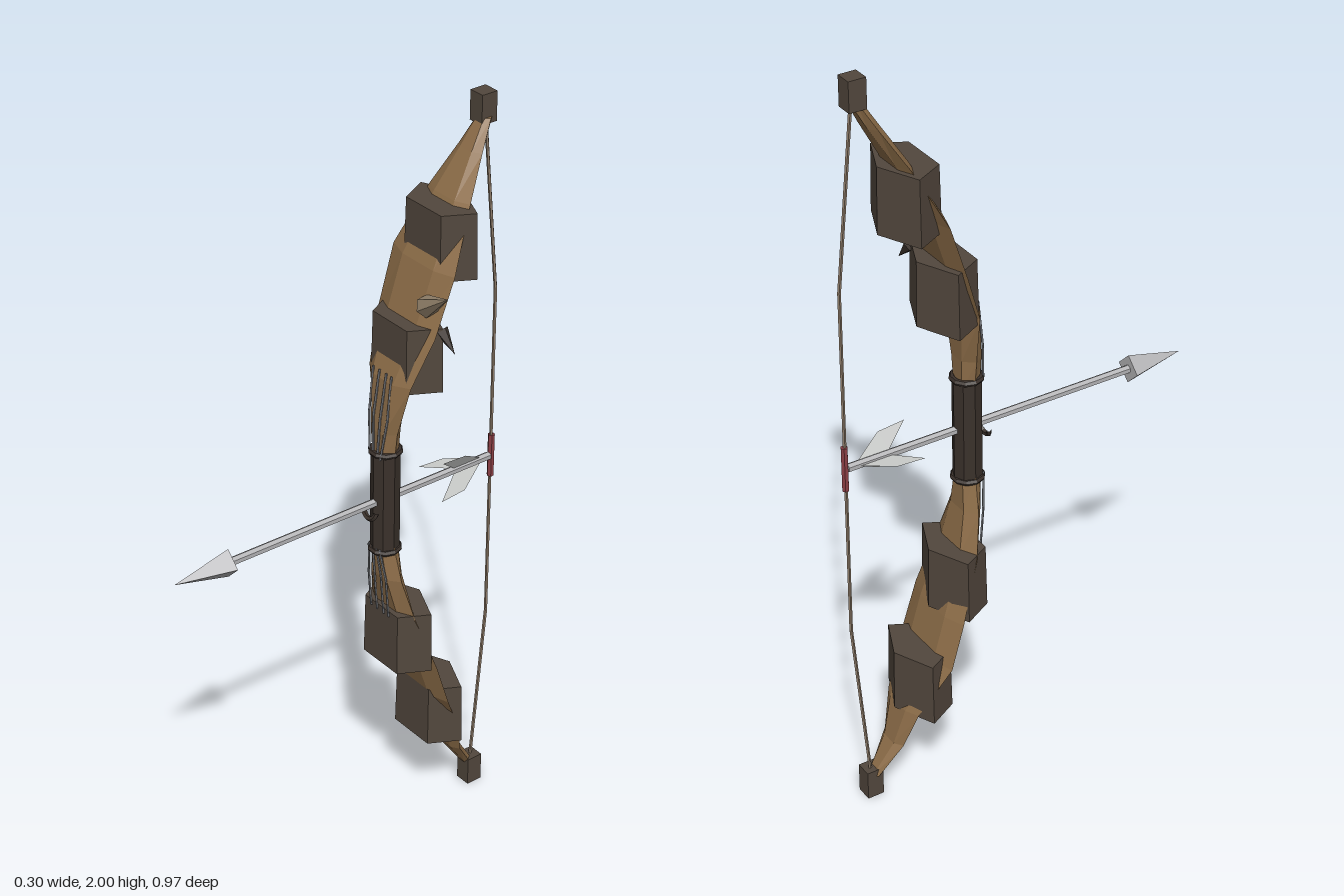
import * as THREE from 'three';

const CX = -0.033; // the bow's centre plane

function material(name, color, double = false) {
  const m = new THREE.MeshStandardMaterial({ color, flatShading: true });
  m.name = name;
  if (double) m.side = THREE.DoubleSide;
  return m;
}

// Six-sided loft through stations [y, z, halfWidth, halfThickness], rising in y
function loft(stations) {
  const n = 6, pos = [], idx = [];
  for (const [y, z, w, t] of stations) {
    for (let j = 0; j < n; j++) {
      const a = (j / n) * Math.PI * 2;
      pos.push(CX + Math.cos(a) * w, y, z + Math.sin(a) * t);
    }
  }
  for (let i = 0; i < stations.length - 1; i++) {
    for (let j = 0; j < n; j++) {
      const a = i * n + j, b = i * n + (j + 1) % n;
      idx.push(a, a + n, b, b, a + n, b + n);
    }
  }
  const last = (stations.length - 1) * n;
  for (let j = 1; j < n - 1; j++) {
    idx.push(0, j, j + 1);
    idx.push(last, last + j + 1, last + j);
  }
  const g = new THREE.BufferGeometry();
  g.setAttribute('position', new THREE.Float32BufferAttribute(pos, 3));
  g.setIndex(idx);
  const flat = g.toNonIndexed();
  flat.computeVertexNormals();
  return flat;
}

// Tapered rod from point a to point b
function rod(a, b, ra, rb, sides) {
  const A = new THREE.Vector3(...a), B = new THREE.Vector3(...b);
  const dir = B.clone().sub(A);
  const g = new THREE.CylinderGeometry(rb, ra, dir.length(), sides);
  g.applyQuaternion(new THREE.Quaternion().setFromUnitVectors(
    new THREE.Vector3(0, 1, 0), dir.normalize()));
  const mid = A.add(B).multiplyScalar(0.5);
  return g.translate(mid.x, mid.y, mid.z);
}

export function createModel() {
  const model = new THREE.Group();
  const wood = material('wood', 0x8e6e49);
  const wrap = material('wrap', 0x52473d);
  const grip = material('grip leather', 0x3a312b);
  const steel = material('steel', 0xb4b4b6);
  const feather = material('feather', 0xc9cbc9, true);
  const cord = material('bowstring cord', 0x8d7b69);
  const nock = material('nock binding', 0x8c3f45);
  const bone = material('bone', 0x9c8a72);
  const lace = material('lace', 0x7d7f84);

  const add = (name, geometry, mat) => {
    const mesh = new THREE.Mesh(geometry, mat);
    mesh.name = name;
    model.add(mesh);
    return mesh;
  };

  // Limbs
  add('upperLimb', loft([
    [1.12, -0.14, 0.035, 0.03], [1.2, -0.14, 0.045, 0.032], [1.34, -0.152, 0.08, 0.028],
    [1.47, -0.2, 0.108, 0.024], [1.62, -0.25, 0.115, 0.022], [1.77, -0.325, 0.075, 0.02],
    [1.87, -0.385, 0.042, 0.018], [1.94, -0.425, 0.022, 0.015]]), wood);
  add('lowerLimb', loft([
    [0.06, -0.425, 0.02, 0.015], [0.15, -0.365, 0.045, 0.018], [0.25, -0.335, 0.072, 0.02],
    [0.39, -0.262, 0.115, 0.022], [0.51, -0.225, 0.112, 0.024], [0.67, -0.17, 0.088, 0.026],
    [0.78, -0.147, 0.06, 0.028], [0.88, -0.14, 0.035, 0.03]]), wood);

  // Five-sided wraps: [y centre, front z]
  [[1.675, -0.245], [1.405, -0.148], [0.597, -0.13], [0.327, -0.235]].forEach(([y, z], i) => {
    const g = new THREE.CylinderGeometry(0.113, 0.118, 0.17, 5, 1, false, Math.PI);
    g.scale(0.98, 1, 0.6).translate(CX, y, z - 0.056);
    add('limbWrap' + (i + 1), g, wrap);
  });

  // Tip blocks
  add('upperTip', new THREE.BoxGeometry(0.044, 0.076, 0.045).translate(-0.042, 1.962, -0.428), wrap);
  add('lowerTip', new THREE.BoxGeometry(0.044, 0.08, 0.045).translate(-0.028, 0.04, -0.432), wrap);

  // Grip with end collars
  add('grip', new THREE.CylinderGeometry(0.037, 0.037, 0.28, 8).translate(CX, 1, -0.14), grip);
  for (const y of [0.86, 1.14]) {
    add('gripCollar', new THREE.TorusGeometry(0.036, 0.008, 6, 10)
      .rotateX(Math.PI / 2).translate(CX, y, -0.14), grip);
  }
  // Curved arrow rest under the shaft
  add('arrowRest', new THREE.TorusGeometry(0.024, 0.007, 5, 8, Math.PI)
    .rotateZ(Math.PI).rotateX(-0.3).translate(CX, 0.985, -0.095), grip);

  // Arrow shaft and diamond head
  add('arrowShaft', rod([CX, 1, -0.47], [CX, 1, 0.35], 0.011, 0.011, 6), steel);
  add('arrowHead', rod([CX, 1, 0.33], [CX, 1, 0.485], 0.039, 0, 4), steel);

  // Three swept feathers around the shaft
  const vane = new THREE.Shape();
  vane.moveTo(0.44, 0.008);
  vane.lineTo(0.355, 0.008);
  vane.lineTo(0.295, 0.064);
  vane.lineTo(0.37, 0.058);
  vane.closePath();
  for (const angle of [60, 180, 300]) {
    const g = new THREE.ShapeGeometry(vane);
    g.rotateY(Math.PI / 2); // length runs toward -z, height stays in y
    g.rotateZ(THREE.MathUtils.degToRad(angle - 90)).translate(CX, 1, 0);
    add('feather', g, feather);
  }

  // Bowstring and its centre binding
  const path = [[-0.036, 1.94, -0.43], [CX, 1.47, -0.475], [CX, 0.53, -0.477], [-0.03, 0.07, -0.435]];
  for (let i = 0; i < 3; i++) {
    add('bowstring', rod(path[i], path[i + 1], 0.0045, 0.0045, 5), cord);
  }
  add('nockBinding', rod([CX, 0.94, -0.477], [CX, 1.06, -0.477], 0.009, 0.009, 6), nock);

  // Side spikes on the upper limb
  add('largeSpike', rod([0.035, 1.54, -0.205], [0.148, 1.615, -0.176], 0.028, 0, 6), bone);
  add('smallSpike', rod([0.06, 1.48, -0.23], [0.103, 1.43, -0.238], 0.018, 0, 5), grip);

  // Laces running from the grip over the limb fronts
  for (const dx of [-0.037, -0.013, 0.013, 0.033]) {
    const bend = Math.abs(dx) > 0.03 ? 0.006 : 0;
    add('upperLace', rod([CX + dx * 0.6, 1.13, -0.108], [CX + dx, 1.24, -0.112 - bend], 0.003, 0.003, 5), lace);
    add('upperLace', rod([CX + dx, 1.24, -0.112 - bend], [CX + dx, 1.36, -0.13], 0.003, 0.003, 5), lace);
    add('lowerLace', rod([CX + dx * 0.6, 0.87, -0.108], [CX + dx, 0.78, -0.119], 0.003, 0.003, 5), lace);
    add('lowerLace', rod([CX + dx, 0.78, -0.119], [CX + dx, 0.67, -0.128], 0.003, 0.003, 5), lace);
  }

  return model;
}
